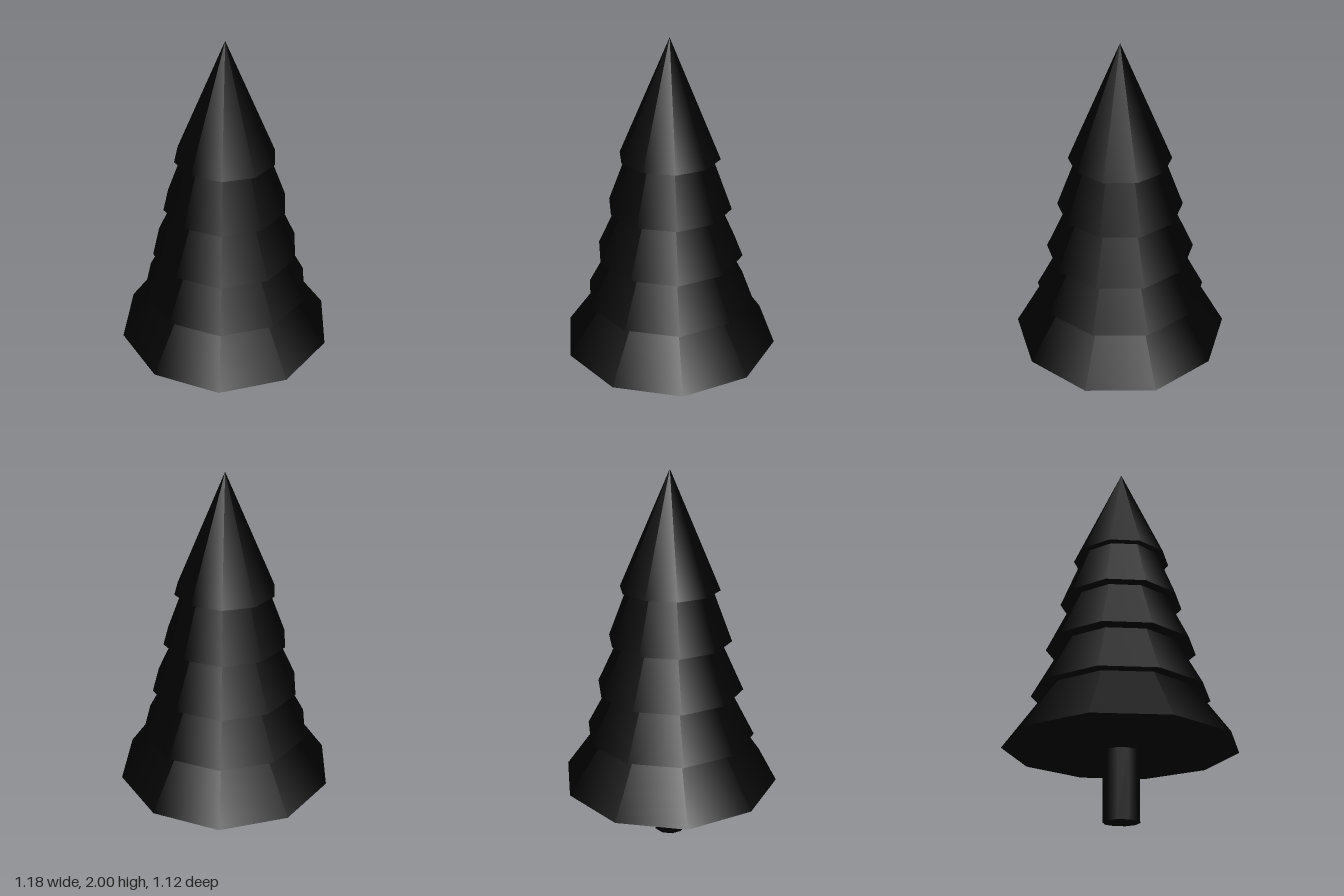
import * as THREE from 'three';

const SIDES = 10;

export function createModel() {
  const tree = new THREE.Group();
  tree.name = 'pineTree';
  const black = new THREE.MeshStandardMaterial({ color: 0x000000 });

  const add = (name, geometry, y) => {
    geometry.rotateY(Math.PI / 2); // corners on the x axis
    const mesh = new THREE.Mesh(geometry, black);
    mesh.name = name;
    mesh.position.y = y;
    tree.add(mesh);
  };

  // Trunk, ending just under the lowest branches
  add('trunk', new THREE.CylinderGeometry(0.09, 0.09, 0.343, SIDES), 0.1715);

  // Overlapping cones of branches: base height, apex height, radius
  const tiers = [
    [0.352, 1.18, 0.588],
    [0.62, 1.47, 0.457],
    [0.875, 1.71, 0.392],
    [1.14, 1.98, 0.325],
    [1.408, 2, 0.26],
  ];
  tiers.forEach(([base, apex, radius], i) => {
    add(`branchTier${i + 1}`, new THREE.ConeGeometry(radius, apex - base, SIDES), (base + apex) / 2);
  });

  return tree;
}
